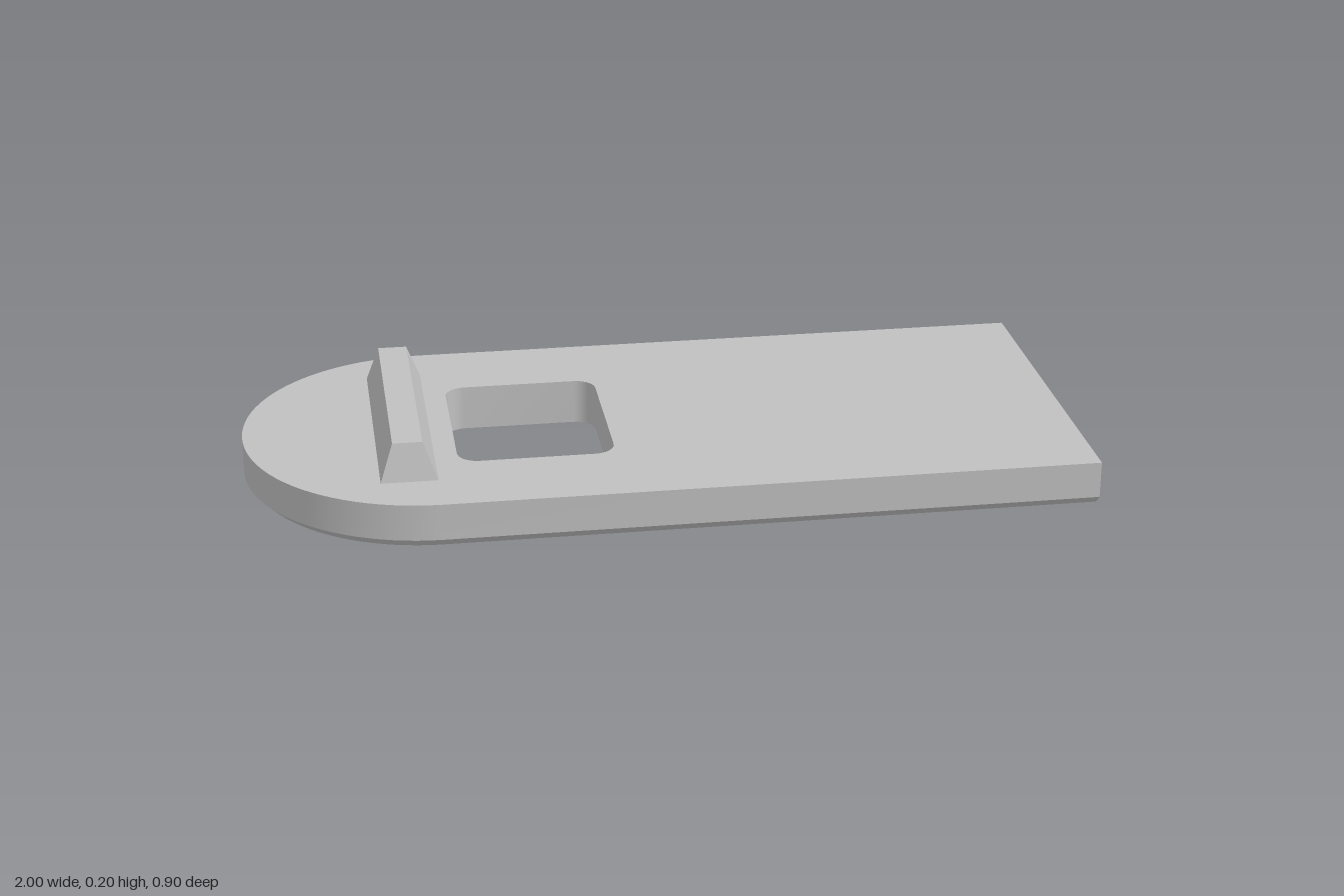
import * as THREE from 'three';
import { mergeGeometries, toCreasedNormals } from 'three/addons/utils/BufferGeometryUtils.js';

const THICK = 0.112, CHAMFER = 0.023, HALF = 0.448, ARC_STEPS = 48;

// Counter-clockwise plate outline: square end at x = 1, round end at x = -1
function plateOutline(inset) {
  const r = HALF - inset, cx = HALF - 1;
  const pts = [new THREE.Vector2(1, -r), new THREE.Vector2(1, r)];
  for (let i = 0; i <= ARC_STEPS; i++) {
    const a = Math.PI / 2 + (Math.PI * i) / ARC_STEPS;
    pts.push(new THREE.Vector2(cx + r * Math.cos(a), r * Math.sin(a)));
  }
  return pts;
}

// Counter-clockwise rectangle, with optional rounded corners
function rectangle(x0, x1, h, r = 0, steps = 0) {
  const pts = [];
  const corners = [[x1 - r, h - r], [x0 + r, h - r], [x0 + r, r - h], [x1 - r, r - h]];
  corners.forEach(([cx, cy], k) => {
    for (let i = 0; i <= steps; i++) {
      const a = (Math.PI / 2) * (k + (steps ? i / steps : 0));
      pts.push(new THREE.Vector2(cx + r * Math.cos(a), cy + r * Math.sin(a)));
    }
  });
  return pts;
}

// Wall joining two matching loops at heights za and zb
function band(a, za, b, zb) {
  const pos = [];
  for (let i = 0; i < a.length; i++) {
    const j = (i + 1) % a.length;
    const a0 = [a[i].x, a[i].y, za], a1 = [a[j].x, a[j].y, za];
    const b0 = [b[i].x, b[i].y, zb], b1 = [b[j].x, b[j].y, zb];
    pos.push(...a0, ...a1, ...b1, ...a0, ...b1, ...b0);
  }
  const g = new THREE.BufferGeometry();
  g.setAttribute('position', new THREE.Float32BufferAttribute(pos, 3));
  return g;
}

// Flat face filling a loop, facing up or down
function cap(loop, z, up, hole) {
  const shape = new THREE.Shape(loop);
  if (hole) shape.holes.push(new THREE.Path(hole));
  const g = new THREE.ShapeGeometry(shape);
  if (!up) g.index.array.reverse();
  const flat = g.toNonIndexed().translate(0, 0, z);
  flat.deleteAttribute('uv');
  flat.deleteAttribute('normal');
  return flat;
}

function solid(name, parts, material) {
  const g = mergeGeometries(parts).rotateX(-Math.PI / 2);
  const mesh = new THREE.Mesh(toCreasedNormals(g, 0.5), material);
  mesh.name = name;
  return mesh;
}

export function createModel() {
  const grey = new THREE.MeshStandardMaterial({ color: 0xc0c0c0 });
  grey.name = 'light grey';
  const model = new THREE.Group();
  model.name = 'slottedPlate';

  // Plate with chamfered lower edge and a rounded square opening
  const outer = plateOutline(0), lower = plateOutline(CHAMFER);
  const hole = rectangle(-0.497, -0.122, 0.222, 0.05, 8).reverse();
  model.add(solid('plate', [
    cap(outer, THICK, true, hole),
    cap(lower, 0, false, hole),
    band(lower, 0, outer, CHAMFER),
    band(outer, CHAMFER, outer, THICK),
    band(hole, 0, hole, THICK),
  ], grey));

  // Tapered ridge across the round end
  const base = rectangle(-0.685, -0.551, 0.315), crest = rectangle(-0.654, -0.584, 0.293);
  model.add(solid('ridge', [
    band(base, THICK, crest, 0.202),
    cap(crest, 0.202, true),
  ], grey));

  return model;
}
